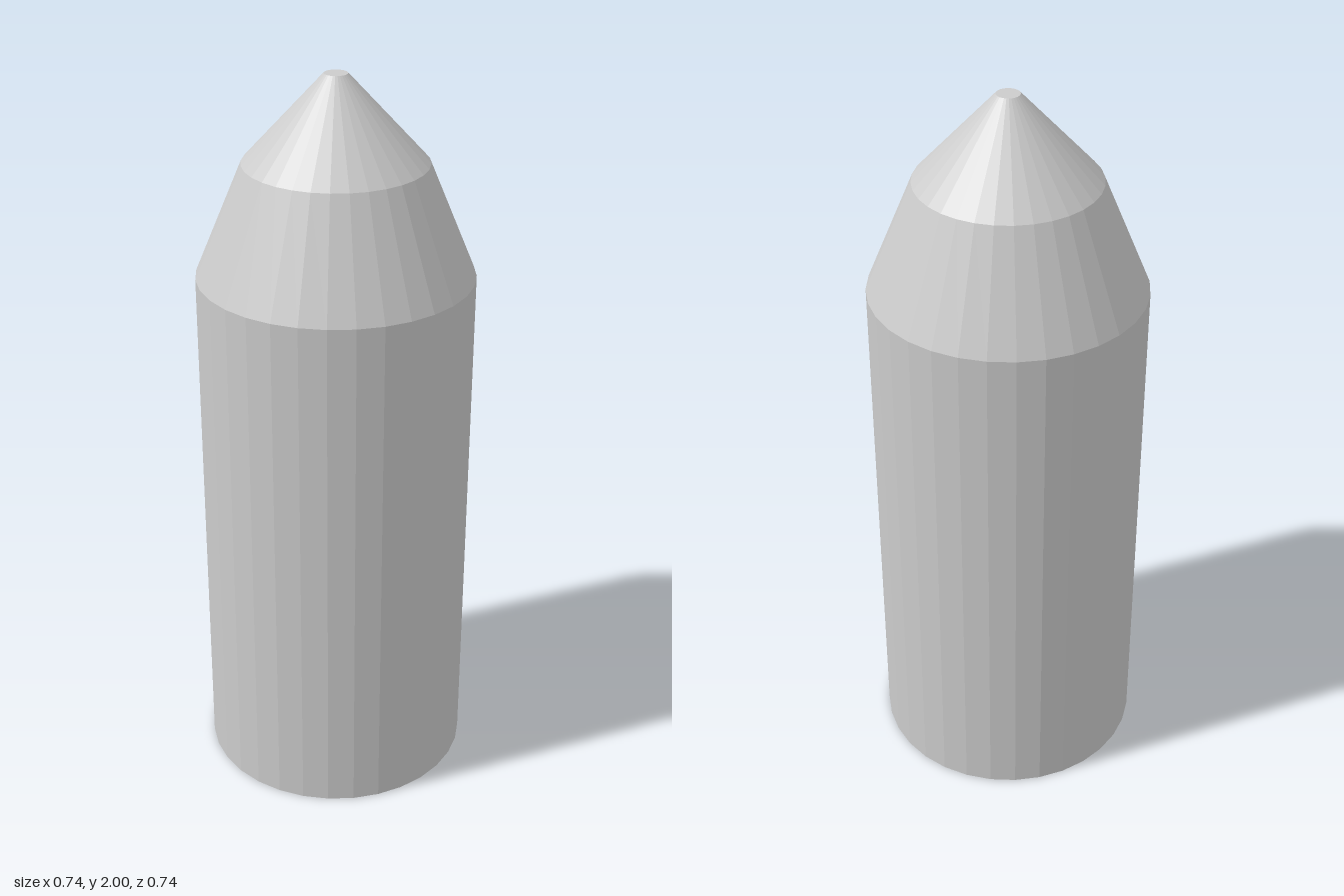
import * as THREE from 'three';

const SIDES = 32;

export function createModel() {
  const group = new THREE.Group();
  const material = new THREE.MeshStandardMaterial({ color: 0xcccccc, flatShading: true });

  // A faceted band of revolution through [radius, height] points, bottom to top
  const addTurned = (name, points) => {
    const profile = points.map(([r, y]) => new THREE.Vector2(r, y));
    const mesh = new THREE.Mesh(new THREE.LatheGeometry(profile, SIDES), material);
    mesh.name = name;
    group.add(mesh);
  };

  // Straight body with closed base
  addTurned('body', [[0, 0], [0.371, 0], [0.371, 1.466]]);
  // Steep shoulder taper
  addTurned('shoulder', [[0.371, 1.466], [0.244, 1.77]]);
  // Pointed nose with a small flat tip
  addTurned('nose', [[0.244, 1.77], [0.031, 2], [0, 2]]);

  return group;
}
